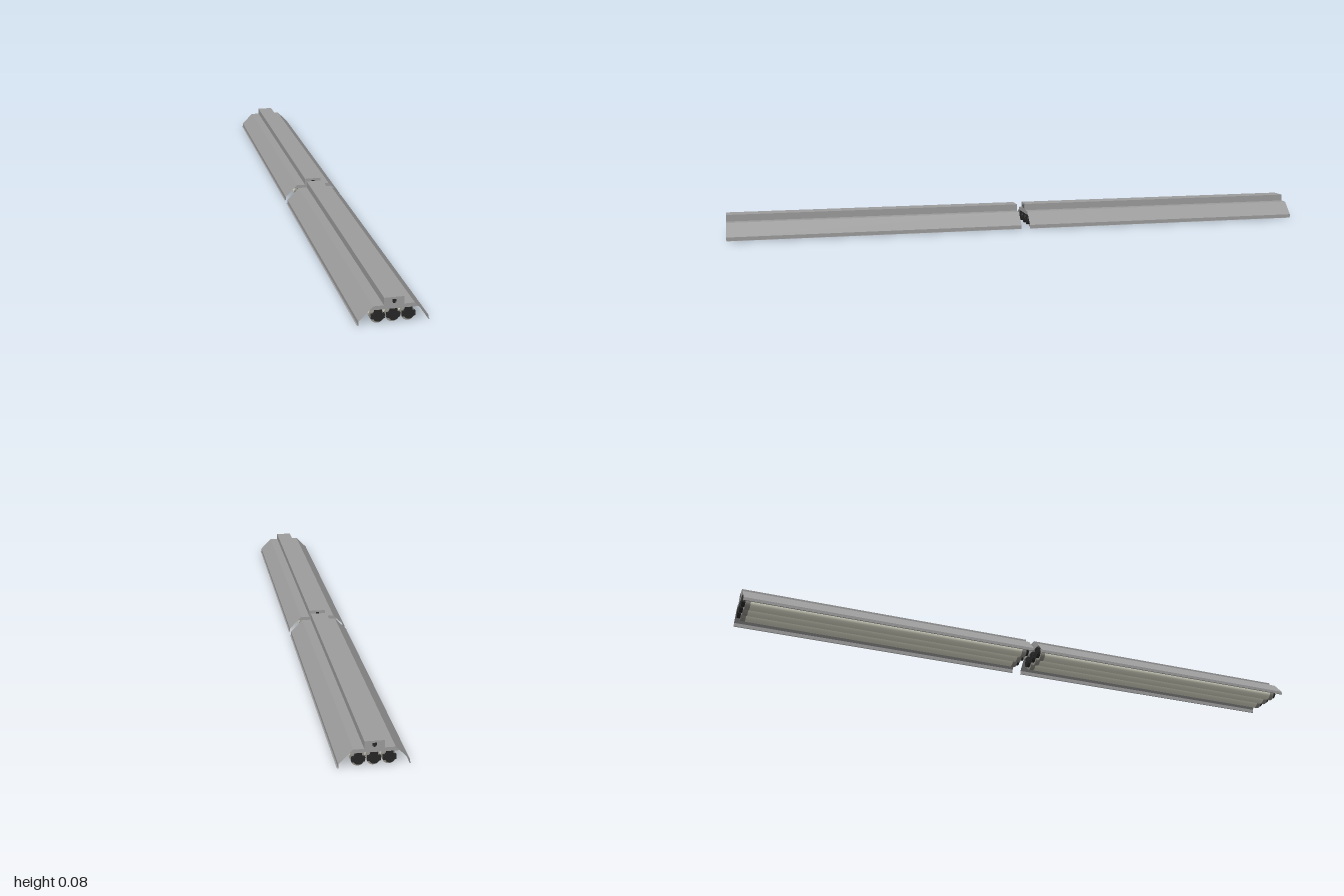
import * as THREE from 'three';

const steel = new THREE.MeshStandardMaterial({ color: 0x9c9c9c, side: THREE.DoubleSide });
steel.name = 'grey painted steel';
const glass = new THREE.MeshStandardMaterial({ color: 0xdcdccb });
glass.name = 'cream tube glass';
const metal = new THREE.MeshStandardMaterial({ color: 0x8f8d86 });
metal.name = 'tube end metal';
const dark = new THREE.MeshStandardMaterial({ color: 0x262626 });
dark.name = 'dark socket plastic';

const HALF = 0.4925; // half the length of one fixture
const TUBE_Y = 0.0205;

function add(parent, name, geometry, material, x = 0, y = 0, z = 0) {
  const mesh = new THREE.Mesh(geometry, material);
  mesh.name = name;
  mesh.position.set(x, y, z);
  parent.add(mesh);
  return mesh;
}

const box = (w, h, d) => new THREE.BoxGeometry(w, h, d);
const rod = (r, length, sides = 24) => new THREE.CylinderGeometry(r, r, length, sides).rotateX(Math.PI / 2);

// Folded sheet: a strip along z for each segment of the profile
function sheet(points) {
  const pos = [];
  for (let i = 0; i < points.length - 1; i++) {
    const [ax, ay] = points[i], [bx, by] = points[i + 1];
    pos.push(ax, ay, HALF, bx, by, HALF, bx, by, -HALF);
    pos.push(ax, ay, HALF, bx, by, -HALF, ax, ay, -HALF);
  }
  const g = new THREE.BufferGeometry();
  g.setAttribute('position', new THREE.Float32BufferAttribute(pos, 3));
  g.computeVertexNormals();
  return g;
}

// One lamp holder; its outer face points to +z
function lampHolder() {
  const holder = new THREE.Group();
  holder.name = 'lampHolder';
  add(holder, 'holderNeck', box(0.019, 0.03, 0.012), dark, 0, 0.03, 0);
  add(holder, 'holderDisc', rod(0.0145, 0.012), dark, 0, 0.0235, 0);
  for (const y of [0.0185, 0.0235, 0.0285]) {
    add(holder, 'holderRib', box(0.037, 0.0035, 0.009), dark, 0, y, 0);
  }
  return holder;
}

function createFixture() {
  const fixture = new THREE.Group();
  fixture.name = 'lightFixture';

  // Sloping reflector wings with a small lip at the bottom
  for (const s of [-1, 1]) {
    const wing = [[0.102, 0.003], [0.098, 0.003], [0.098, 0.015], [0.058, 0.056]];
    add(fixture, 'reflectorWing', sheet(wing.map(([x, y]) => [s * x, y])), steel);
  }

  // Raised wiring channel on a flat pan
  const half = [[0.069, 0.0445], [0.058, 0.056], [0.028, 0.056], [0.028, 0.078]];
  const outline = [...half, ...half.slice().reverse().map(([x, y]) => [-x, y])];
  const shape = new THREE.Shape(outline.map(([x, y]) => new THREE.Vector2(x, y)));
  const housing = new THREE.ExtrudeGeometry(shape, { depth: 2 * HALF, bevelEnabled: false });
  add(fixture, 'housing', housing.translate(0, 0, -HALF), steel);

  // Three tubes
  for (const x of [-0.043, 0, 0.043]) {
    add(fixture, 'tube', rod(0.0195, 2 * HALF - 0.05), glass, x, TUBE_Y);
    for (const s of [-1, 1]) {
      add(fixture, 'tubeCap', rod(0.0197, 0.016), metal, x, TUBE_Y, s * (HALF - 0.02));
      const holder = lampHolder();
      holder.position.set(x, 0, s * (HALF - 0.007));
      fixture.add(holder);
    }
  }

  // Power inlets on the channel ends
  for (const s of [-1, 1]) {
    add(fixture, 'powerInlet', box(0.011, 0.008, 0.004), dark, 0, 0.068, s * (HALF - 0.001));
    add(fixture, 'inletKey', box(0.006, 0.005, 0.004), dark, 0, 0.063, s * (HALF - 0.001));
  }
  return fixture;
}

export function createModel() {
  const model = new THREE.Group();
  model.name = 'tubeLights';
  // Two fixtures end to end with a small gap
  for (const s of [-1, 1]) {
    const fixture = createFixture();
    fixture.position.z = s * (1 - HALF);
    model.add(fixture);
  }
  return model;
}
